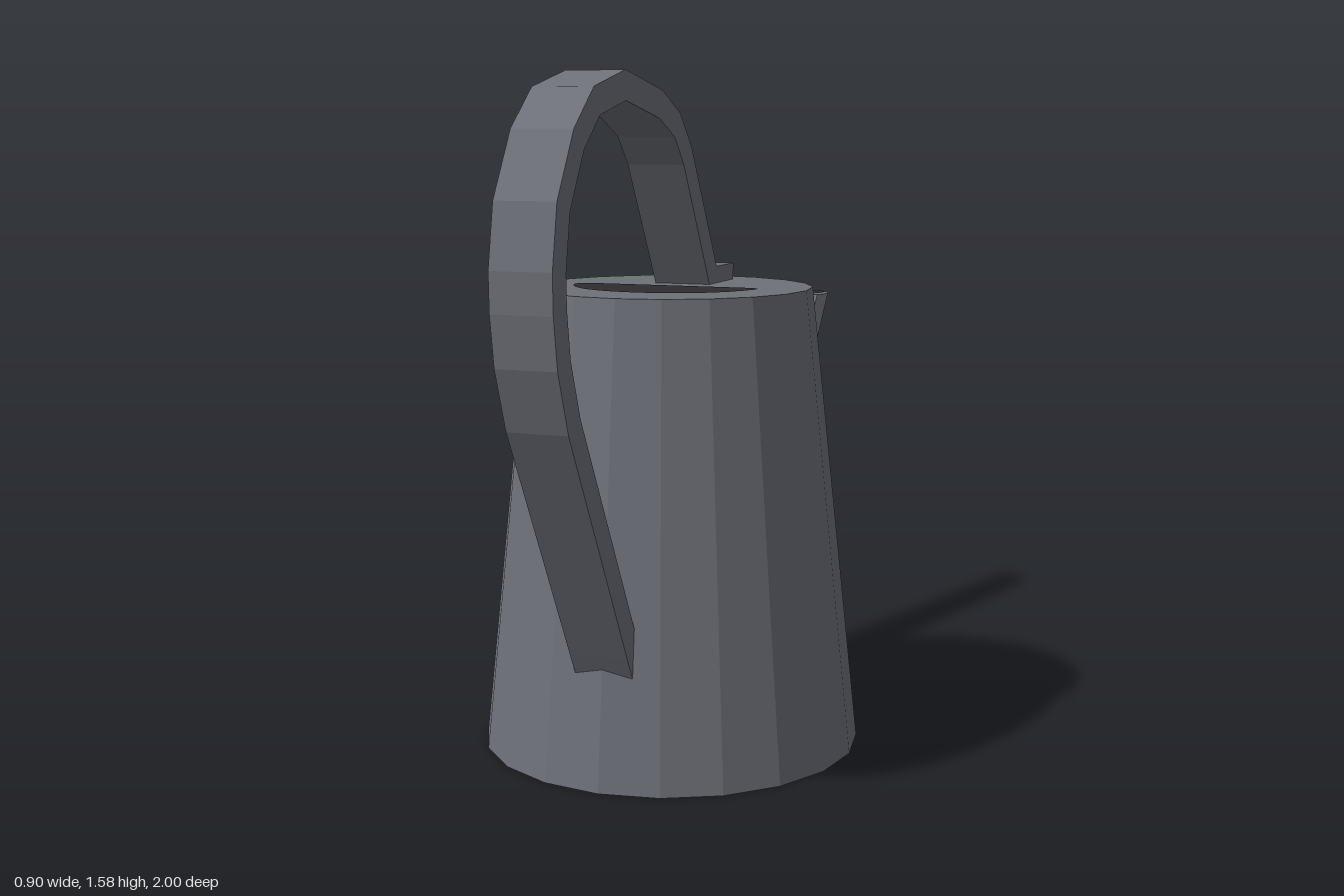
import * as THREE from 'three';

const metal = new THREE.MeshStandardMaterial({ color: 0x6e7179, flatShading: true });
metal.name = 'grey metal';
const dark = new THREE.MeshStandardMaterial({ color: 0x2d2d2d });
dark.name = 'dark opening';

function addMesh(group, name, geometry, material) {
  const mesh = new THREE.Mesh(geometry, material);
  mesh.name = name;
  group.add(mesh);
  return mesh;
}

// Flat strap of constant thickness following a path of [z, y] points
function strapGeometry(path, thickness, width) {
  const pts = path.map(([z, y]) => new THREE.Vector2(z, y));
  const outer = [], inner = [];
  pts.forEach((p, i) => {
    const a = p.clone().sub(pts[Math.max(i - 1, 0)]).normalize();
    const b = pts[Math.min(i + 1, pts.length - 1)].clone().sub(p).normalize();
    const t = a.add(b).normalize();
    const n = new THREE.Vector2(-t.y, t.x).multiplyScalar(thickness / 2);
    outer.push(p.clone().add(n));
    inner.unshift(p.clone().sub(n));
  });
  const geo = new THREE.ExtrudeGeometry(new THREE.Shape([...outer, ...inner]), { depth: width, bevelEnabled: false });
  geo.translate(0, 0, -width / 2);
  return geo.rotateY(-Math.PI / 2); // shape x becomes z
}

// Tapered tube with level ends: unit cylinder moved onto two elliptical rings
function spoutGeometry(low, high) {
  const geo = new THREE.CylinderGeometry(1, 1, 1, 8);
  const pos = geo.attributes.position;
  for (let i = 0; i < pos.count; i++) {
    const r = pos.getY(i) > 0 ? high : low;
    pos.setXYZ(i, pos.getX(i) * r.rx, r.y, r.z + pos.getZ(i) * r.rz);
  }
  geo.computeVertexNormals();
  return geo;
}

export function createModel() {
  const can = new THREE.Group();
  can.name = 'wateringCan';

  // Tapered body
  const height = 1.09, bodyZ = 0.2;
  addMesh(can, 'body', new THREE.CylinderGeometry(0.335, 0.45, height, 20), metal)
    .position.set(0, height / 2, bodyZ);

  // Half-moon filling opening on the lid
  const moon = new THREE.Shape();
  moon.moveTo(-0.2, -0.21);
  moon.lineTo(0.2, -0.21);
  moon.quadraticCurveTo(0.232, -0.212, 0.226, -0.25);
  moon.bezierCurveTo(0.19, -0.36, 0.1, -0.412, 0, -0.412);
  moon.bezierCurveTo(-0.1, -0.412, -0.19, -0.36, -0.226, -0.25);
  moon.quadraticCurveTo(-0.232, -0.212, -0.2, -0.21);
  const opening = addMesh(can, 'fillOpening', new THREE.ShapeGeometry(moon, 8), dark);
  opening.rotation.x = -Math.PI / 2;
  opening.position.y = height + 0.003;

  // Spout with a level mouth
  const mouth = { y: 0.98, z: -0.925, rx: 0.056, rz: 0.075 };
  addMesh(can, 'spout', spoutGeometry({ y: 0.1, z: -0.05, rx: 0.09, rz: 0.115 }, mouth), metal);
  const hole = addMesh(can, 'spoutOpening', new THREE.CircleGeometry(1, 20), dark);
  hole.rotation.x = -Math.PI / 2;
  hole.scale.set(0.042, 0.058, 1);
  hole.position.set(0, mouth.y + 0.003, mouth.z);

  // Looped handle, from the lid over the back and down into the body
  const path = [
    [0.09, 1.1], [0.265, 1.395], [0.33, 1.465], [0.43, 1.51], [0.63, 1.547],
    [0.78, 1.513], [0.87, 1.437], [0.947, 1.307], [0.97, 1.18], [0.968, 1.1],
    [0.952, 0.995], [0.906, 0.866], [0.612, 0.326], [0.56, 0.232],
  ];
  addMesh(can, 'handle', strapGeometry(path, 0.064, 0.138), metal);

  // Mounting plate of the handle on the lid
  addMesh(can, 'handlePlate', new THREE.BoxGeometry(0.138, 0.04, 0.16), metal)
    .position.set(0, height + 0.02, 0.03);

  return can;
}
